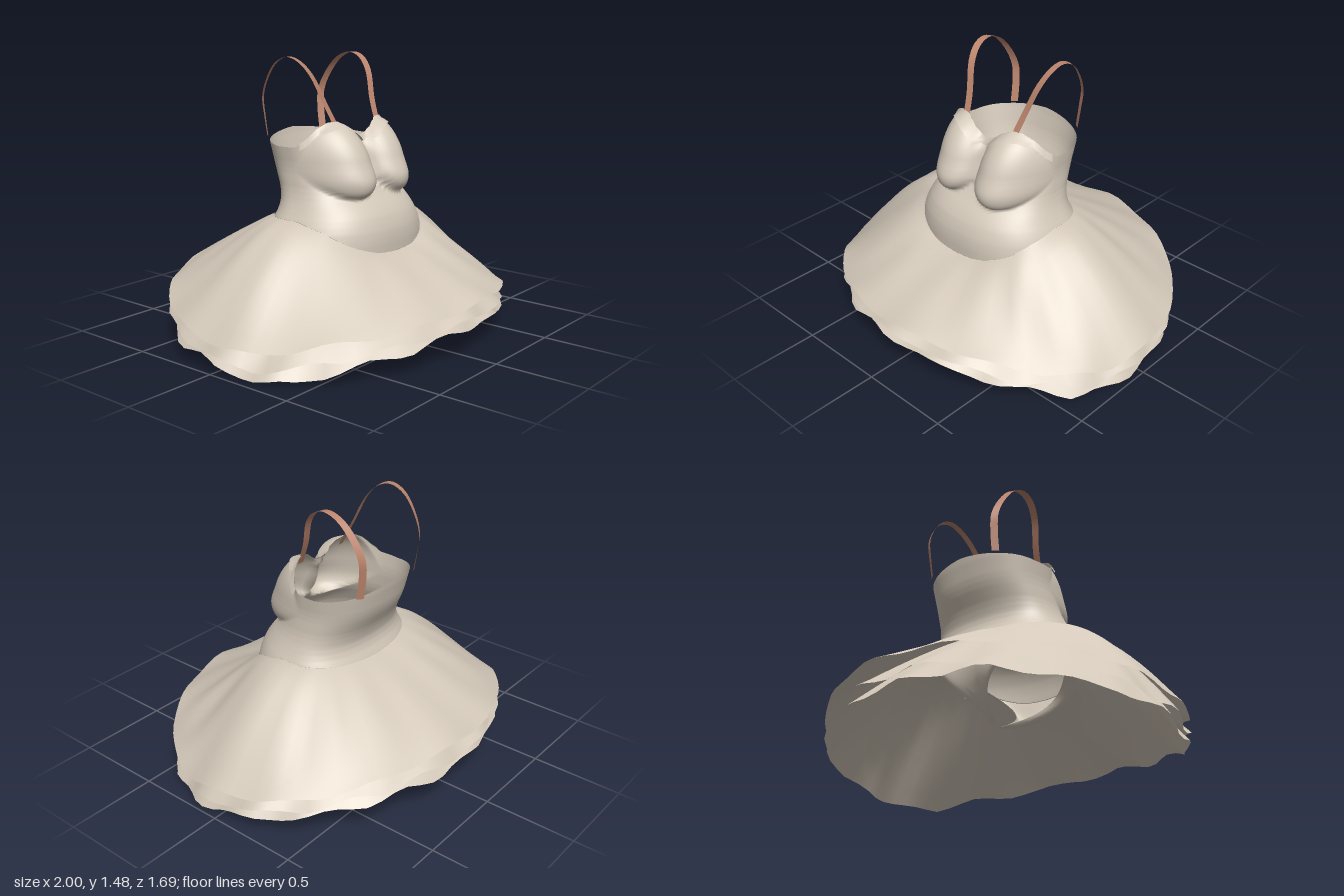
import * as THREE from 'three';
import { mergeVertices } from 'three/addons/utils/BufferGeometryUtils.js';

const { sin, cos, abs, sign, PI, max, pow } = Math;
const fabric = new THREE.MeshStandardMaterial({ color: 0xd3c8b9, side: THREE.DoubleSide });
fabric.name = 'beige fabric';
const leather = new THREE.MeshStandardMaterial({ color: 0xbb846c, side: THREE.DoubleSide });
leather.name = 'tan strap';

// Piecewise-linear lookup in rows [key, value, value...], keys ascending
function lookup(rows, k, col = 1) {
  if (k <= rows[0][0]) return rows[0][col];
  for (let i = 1; i < rows.length; i++) {
    const a = rows[i - 1], b = rows[i];
    if (k <= b[0]) return a[col] + (b[col] - a[col]) * (k - a[0]) / (b[0] - a[0]);
  }
  return rows[rows.length - 1][col];
}

// Smooth sheet from a rule fn(u, v) -> [x, y, z]
function sheet(name, fn, nu, nv, material) {
  const pos = [], idx = [];
  for (let j = 0; j <= nv; j++)
    for (let i = 0; i <= nu; i++) pos.push(...fn(i / nu, j / nv));
  for (let j = 0; j < nv; j++)
    for (let i = 0; i < nu; i++) {
      const a = j * (nu + 1) + i, b = a + nu + 1;
      idx.push(a, b, a + 1, b, b + 1, a + 1);
    }
  let g = new THREE.BufferGeometry();
  g.setAttribute('position', new THREE.Float32BufferAttribute(pos, 3));
  g.setIndex(idx);
  g = mergeVertices(g, 1e-5);
  g.computeVertexNormals();
  const mesh = new THREE.Mesh(g, material);
  mesh.name = name;
  return mesh;
}

// Body levels: y, half width, front z, back z, z of widest point
const levels = [
  [0.50, 0.47, 0.385, -0.34, 0], [0.60, 0.45, 0.385, -0.30, 0], [0.67, 0.427, 0.37, -0.265, 0],
  [0.74, 0.385, 0.335, -0.23, 0], [0.82, 0.355, 0.25, -0.245, -0.02], [0.95, 0.342, 0.16, -0.31, -0.05],
  [1.10, 0.357, 0.13, -0.345, -0.08], [1.19, 0.35, 0.115, -0.35, -0.08],
];
// Heights of the neckline and the waist seam by angle from the front, in degrees
const neckline = [[0, 1.10], [6, 1.115], [13, 1.155], [22, 1.182], [34, 1.182], [48, 1.15],
  [62, 1.10], [78, 1.06], [100, 1.055], [140, 1.075], [180, 1.105]];
const seam = [[0, 0.515], [15, 0.525], [35, 0.57], [60, 0.645], [85, 0.69], [120, 0.685], [180, 0.665]];
const degrees = a => abs(a) * 180 / PI;

// Point on the body at angle a (0 = front) and height y
function body(a, y, out = 0) {
  // Averaging nearby heights rounds the body profile
  const at = col => (lookup(levels, y - 0.03, col) + lookup(levels, y, col) + lookup(levels, y + 0.03, col)) / 3;
  const p = 0.84, w = at(1) + out, zc = at(4);
  const depth = cos(a) > 0 ? at(2) - zc + out : zc - at(3) + out;
  const x = w * sign(sin(a)) * pow(abs(sin(a)), p);
  let z = zc + depth * sign(cos(a)) * pow(abs(cos(a)), p);
  if (cos(a) > 0) {
    // Cups: rounded below, tapering toward the neckline
    const above = y > 0.94;
    const dx = (abs(x) - 0.172) / 0.17, dy = (y - 0.94) / (above ? 0.24 : 0.145);
    z += 0.148 * pow(max(0, 1 - dx * dx - dy * dy), 0.65);
  }
  return [x, y, z];
}

// Hem heights of the three skirt layers by cosine of the angle, then slope curvature
const drape = [
  [-1, 0.37, 0.275, 0.225, 1.08], [-0.5, 0.265, 0.20, 0.145, 1.2], [-0.1, 0.215, 0.145, 0.10, 1.5],
  [0.1, 0.195, 0.11, 0.065, 1.5], [0.3, 0.175, 0.08, 0.02, 1.35], [0.5, 0.20, 0.11, 0.045, 1.15],
  [0.75, 0.245, 0.17, 0.12, 1.05], [1, 0.295, 0.215, 0.17, 1.1],
];

function skirtLayer(k) {
  return sheet('skirtLayer' + (k + 1), (u, v) => {
    const a = u * 2 * PI - PI, c = cos(a);
    const top = body(a, lookup(seam, degrees(a)), 0.008 - 0.006 * k);
    // Uneven pointed hem, growing toward the edge
    const zigzag = Math.asin(sin(13 * a + k * 2)) / 1.57;
    const ragged = (k ? 0.02 : 0.015) * zigzag + 0.008 * sin(5 * a + k);
    const r = 1 - 0.008 * k + (k ? 0.014 : 0.003) * sin(17 * a + k * 1.3);
    const x = top[0] + (sin(a) * r - top[0]) * v;
    const z = top[2] + (c * r * 0.845 - top[2]) * v;
    // Soft folds, deepest at the front corners
    const fold = max(0, 1 - abs(c - 0.55) / 0.4);
    const dip = sin(PI * v) * (0.005 * sin(17 * a) - 0.03 * fold * abs(sin(4 * a)));
    const y = top[1] + (lookup(drape, c, 1 + k) - top[1]) * pow(v, lookup(drape, c, 4));
    return [x, y + dip + ragged * pow(v, 5), z];
  }, 78, 12, fabric);
}

// Half of the brief: from the waist seam to the leg edges, meeting at the crotch
function briefHalf(name, dir) {
  return sheet(name, (u, v) => {
    const q = u * 2 - 1, s = abs(q);
    const a = dir > 0 ? q * PI / 2 : PI - q * PI / 2;
    const wrapped = Math.atan2(sin(a), cos(a));
    const top = body(wrapped, lookup(seam, degrees(wrapped)));
    const edge = [
      sign(q) * (0.012 * (1 - s) + 0.415 * pow(s, 1.5)),
      0.23 + 0.458 * s,
      -0.04 * (1 - s) + dir * (dir > 0 ? 0.29 : 0.22) * sin(PI * s),
    ];
    const p = top.map((w, i) => w + (edge[i] - w) * v);
    p[2] += dir * 0.07 * sin(PI * v) * (1 - s);
    p[1] -= 0.04 * sin(PI * v) * (1 - s);
    return p;
  }, 32, 10, fabric);
}

// Flat ribbon looping over the shoulder
function strap(name, side) {
  const path = new THREE.CatmullRomCurve3([
    [0.165, 1.13, 0.125], [0.195, 1.27, 0.06], [0.236, 1.42, 0], [0.256, 1.49, -0.065],
    [0.262, 1.513, -0.14], [0.26, 1.48, -0.225], [0.25, 1.39, -0.3], [0.24, 1.29, -0.342],
    [0.232, 1.19, -0.338], [0.228, 1.08, -0.322],
  ].map(p => new THREE.Vector3(...p)));
  return sheet(name, (u, v) => {
    const p = path.getPoint(v), twist = 0.05 + 0.6 * v, w = (u - 0.5) * 0.04;
    return [side * (p.x + w * cos(twist)), p.y, p.z + w * sin(twist)];
  }, 2, 40, leather);
}

export function createModel() {
  const model = new THREE.Group();
  model.name = 'dress';

  // Bodice from neckline to waist seam
  model.add(sheet('bodice', (u, v) => {
    const a = u * 2 * PI - PI, d = degrees(a);
    const top = lookup(neckline, d), low = lookup(seam, d);
    return body(a, top + (low - top) * v);
  }, 140, 50, fabric));

  // Folded trim flaring out along the front neckline
  model.add(sheet('necklineTrim', (u, v) => {
    const a = (u * 2 - 1) * 1.25, top = lookup(neckline, degrees(a));
    return body(a, top + 0.003 - 0.034 * v, 0.002 + 0.016 * v);
  }, 60, 3, fabric));

  model.add(briefHalf('briefFront', 1), briefHalf('briefBack', -1));
  for (let k = 0; k < 3; k++) model.add(skirtLayer(k));
  model.add(strap('leftStrap', 1), strap('rightStrap', -1));
  return model;
}
